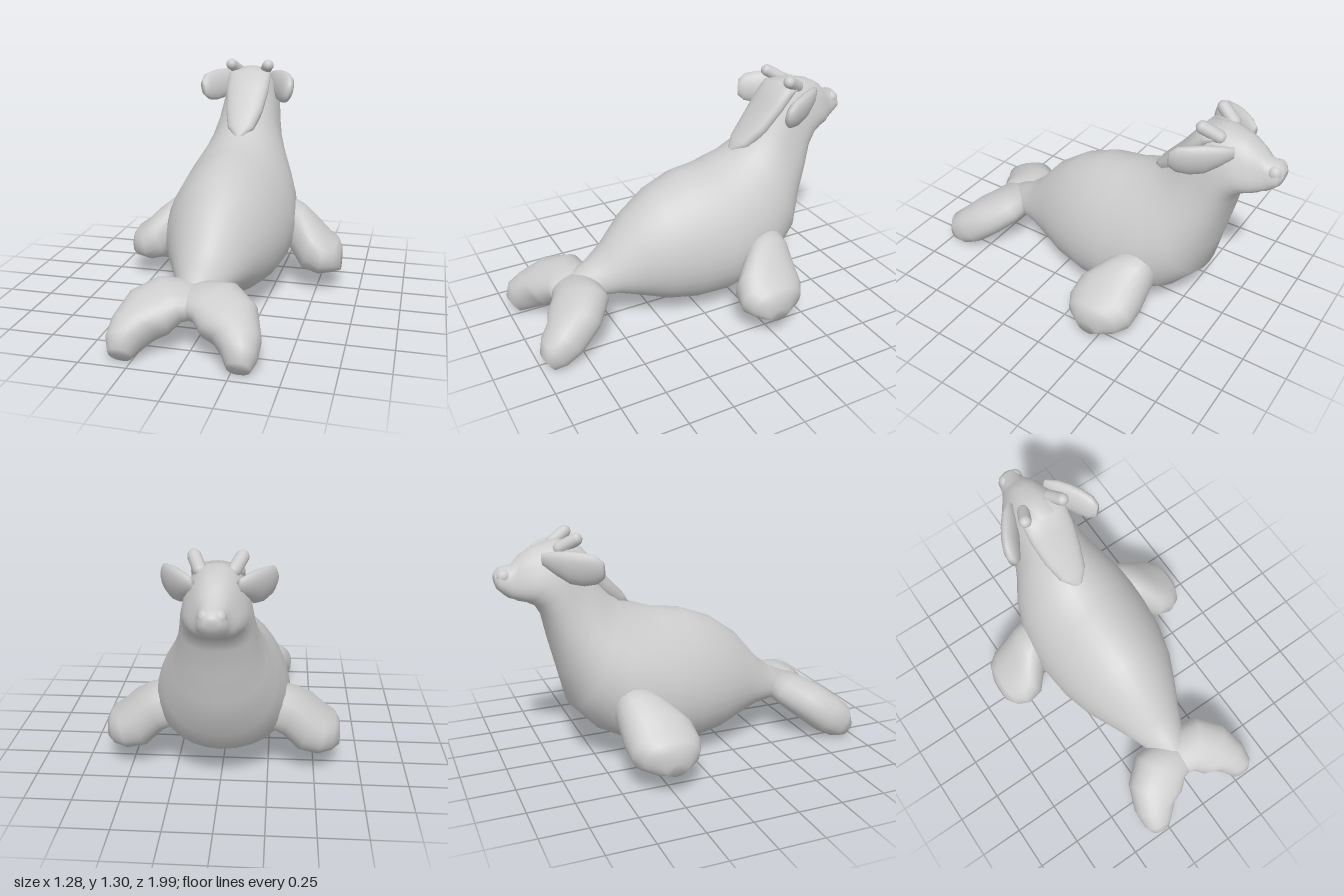
import * as THREE from 'three';

const V = (a) => new THREE.Vector3(...a);

// Smooth closed skin through rings [centre, half-axis u, half-axis v];
// power below 1 squares a ring off, taper narrows its +v side
function loft(rings, { sides = 24, power = () => 1, taper = 0 } = {}) {
  const pos = [], idx = [], n = rings.length;
  rings.forEach(([c, u, v], i) => {
    const soft = (t) => Math.sign(t) * Math.abs(t) ** power(i);
    for (let j = 0; j < sides; j++) {
      const a = (j / sides) * Math.PI * 2, q = soft(Math.sin(a));
      const p = soft(Math.cos(a)) * (1 - taper * q);
      pos.push(...c.map((k, m) => k + u[m] * p + v[m] * q));
    }
  });
  pos.push(...rings[0][0], ...rings[n - 1][0]);
  const [c0, u0, v0] = rings[1].map(V);
  const flip = u0.cross(v0).dot(V(rings[2][0]).sub(c0)) < 0;
  const tri = (a, b, c) => (flip ? idx.push(a, c, b) : idx.push(a, b, c));
  for (let j = 0; j < sides; j++) {
    const k = (j + 1) % sides, last = (n - 1) * sides;
    for (let i = 0; i < n - 1; i++) {
      const a = i * sides + j, b = i * sides + k;
      tri(a, b, a + sides);
      tri(b, b + sides, a + sides);
    }
    tri(n * sides, k, j);
    tri(n * sides + 1, last + j, last + k);
  }
  const g = new THREE.BufferGeometry();
  g.setAttribute('position', new THREE.Float32BufferAttribute(pos, 3));
  g.setIndex(idx);
  g.computeVertexNormals();
  return g;
}

export function createModel() {
  const model = new THREE.Group();
  const grey = new THREE.MeshStandardMaterial({ color: 0xcccccc });
  grey.name = 'plain grey';
  const add = (name, geometry) => {
    const m = new THREE.Mesh(geometry, grey);
    m.name = name;
    model.add(m);
    return m;
  };

  // Body, neck and head: back z, y; belly z, y; half width
  const spine = [
    [0.72, 0.34, 0.70, 0.20, 0.08],
    [0.60, 0.395, 0.57, 0.20, 0.12],
    [0.50, 0.475, 0.46, 0.19, 0.165],
    [0.36, 0.64, 0.33, 0.14, 0.23],
    [0.20, 0.755, 0.20, 0.09, 0.295],
    [0.03, 0.82, 0.03, 0.06, 0.342],
    [-0.13, 0.84, -0.15, 0.06, 0.36],
    [-0.20, 0.865, -0.33, 0.11, 0.355],
    [-0.28, 0.89, -0.50, 0.20, 0.335],
    [-0.35, 0.94, -0.64, 0.35, 0.285],
    [-0.40, 0.99, -0.69, 0.55, 0.235],
    [-0.45, 1.05, -0.73, 0.72, 0.195],
    [-0.49, 1.11, -0.76, 0.86, 0.178],
    [-0.53, 1.18, -0.80, 0.93, 0.168],
    [-0.57, 1.25, -0.85, 0.955, 0.155],
    [-0.68, 1.262, -0.89, 0.965, 0.135],
    [-0.79, 1.235, -0.91, 0.975, 0.105],
    [-0.86, 1.195, -0.93, 0.98, 0.083],
    [-0.90, 1.15, -0.955, 1.00, 0.07],
    [-0.965, 1.14, -0.985, 1.03, 0.064],
    [-0.995, 1.11, -0.995, 1.06, 0.035],
  ];
  add('bodyAndHead', loft(spine.map(([bz, by, fz, fy, w]) => [
    [0, (by + fy) / 2, (bz + fz) / 2], [w, 0, 0], [0, (by - fy) / 2, (bz - fz) / 2],
  ]), { sides: 32, power: (i) => (i > 10 ? 0.82 : 1), taper: 0.17 }));

  // Raised ridge down the back of the neck: y, z, half width, half thickness
  add('nape', loft([
    [0.885, -0.30, 0.025, 0.02],
    [0.925, -0.355, 0.08, 0.045],
    [1.015, -0.445, 0.112, 0.05],
    [1.13, -0.535, 0.13, 0.05],
    [1.21, -0.60, 0.13, 0.05],
    [1.235, -0.66, 0.115, 0.025],
  ].map(([y, z, w, t]) => [[0, y, z], [w, 0, 0], [0, 0.66 * t, 0.75 * t]]), { power: () => 0.85 }));

  for (const s of [1, -1]) {
    const side = s > 0 ? 'left' : 'right';
    const mirror = (rings) => rings.map((r) => r.map(([x, y, z]) => [s * x, y, z]));

    // Front flipper: centre, fore-aft half width, half thickness in x and y
    add(side + 'FrontFlipper', loft(mirror([
      [0.24, 0.42, -0.36, 0.10, 0.06, 0.11],
      [0.36, 0.36, -0.325, 0.145, 0.04, 0.125],
      [0.45, 0.272, -0.275, 0.19, 0.04, 0.142],
      [0.535, 0.225, -0.265, 0.19, 0.025, 0.118],
      [0.60, 0.215, -0.26, 0.15, 0.012, 0.095],
      [0.638, 0.20, -0.25, 0.07, 0, 0.07],
    ].map(([x, y, z, w, tx, ty]) => [[x, y, z], [0, 0, w], [tx, ty, 0]])), { power: () => 0.9 }));

    // Tail fluke: centre, outward half width, half thickness
    add(side + 'TailFluke', loft(mirror([
      [[-0.02, 0.27, 0.68], [0.05, 0.04, -0.11], 0.09],
      [[0.12, 0.26, 0.70], [0.09, 0.05, -0.115], 0.105],
      [[0.205, 0.21, 0.775], [0.125, 0.045, -0.085], 0.118],
      [[0.262, 0.15, 0.85], [0.118, 0.01, -0.02], 0.118],
      [[0.288, 0.105, 0.92], [0.09, 0, 0], 0.107],
      [[0.295, 0.06, 0.965], [0.06, 0, 0], 0.06],
    ].map(([c, u, t]) => [c, u, [0, 0.8 * t, 0.55 * t]])), { power: () => 0.9 }));

    // Ear: thick leaf sweeping back and out from the head
    add(side + 'Ear', loft(mirror([
      [0.11, 1.185, -0.765, 0.035, 0.02],
      [0.15, 1.17, -0.71, 0.065, 0.036],
      [0.185, 1.15, -0.65, 0.09, 0.042],
      [0.22, 1.143, -0.59, 0.092, 0.042],
      [0.25, 1.143, -0.53, 0.08, 0.038],
      [0.268, 1.14, -0.495, 0.045, 0.022],
    ].map(([x, y, z, h, t]) => [[x, y, z], [0.15 * h, 0.98 * h, -0.1 * h], [0.83 * t, 0, -0.55 * t]])), { sides: 18 }));

    // Short blunt horn
    const from = V([s * 0.08, 1.23, -0.67]), to = V([s * 0.114, 1.276, -0.592]);
    const dir = to.clone().sub(from);
    const horn = add(side + 'Horn', new THREE.CapsuleGeometry(0.034, dir.length(), 4, 12));
    horn.position.copy(from).add(to).multiplyScalar(0.5);
    horn.quaternion.setFromUnitVectors(new THREE.Vector3(0, 1, 0), dir.normalize());

    // Nostril swelling on the muzzle
    const nostril = add(side + 'Nostril', new THREE.SphereGeometry(1, 14, 10));
    nostril.scale.set(0.034, 0.04, 0.04);
    nostril.position.set(s * 0.033, 1.095, -0.95);
  }
  return model;
}
